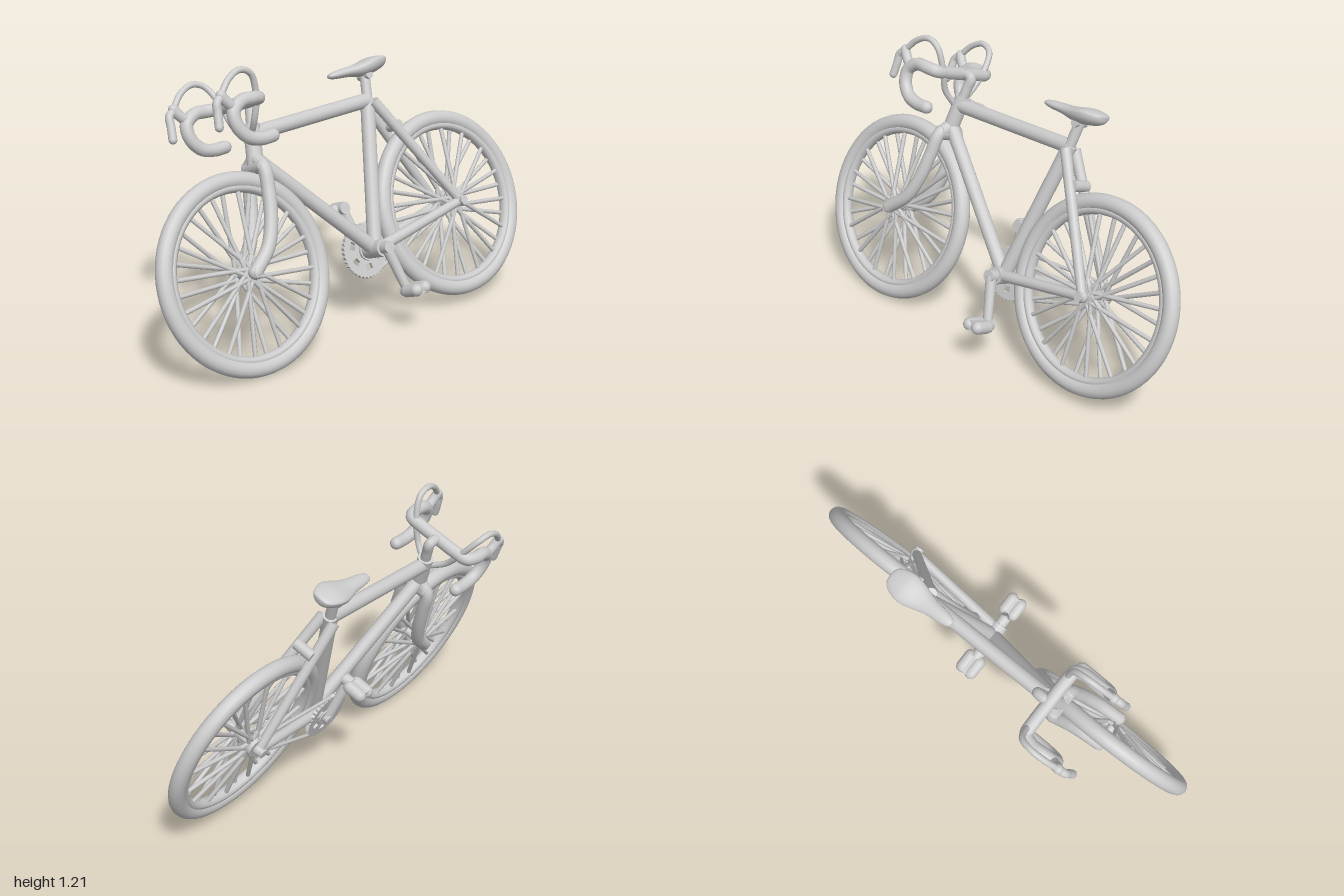
import * as THREE from 'three';

const mat = new THREE.MeshStandardMaterial({ color: 0xcccccc });
const V = (x, y, z) => new THREE.Vector3(x, y, z);

function add(parent, geo, name, pos) {
  const m = new THREE.Mesh(geo, mat);
  m.name = name;
  if (pos) m.position.copy(pos);
  parent.add(m);
  return m;
}

// Straight capped rod between two points
function rod(parent, a, b, r1, name, r2 = r1, sides = 14) {
  const d = b.clone().sub(a);
  const m = add(parent, new THREE.CylinderGeometry(r2, r1, d.length(), sides), name, a.clone().lerp(b, 0.5));
  m.quaternion.setFromUnitVectors(V(0, 1, 0), d.normalize());
  return m;
}

// Curved tube with rounded ends
function bent(parent, pts, r, name, segs = 36) {
  const g = new THREE.Group();
  g.name = name;
  add(g, new THREE.TubeGeometry(new THREE.CatmullRomCurve3(pts), segs, r, 12), name + 'Tube');
  for (const p of [pts[0], pts[pts.length - 1]]) add(g, new THREE.SphereGeometry(r, 12, 8), name + 'End', p);
  parent.add(g);
}

// Wheel in the local yz plane, axle along x
function wheel(name, z, axle) {
  const g = new THREE.Group();
  g.name = name;
  g.position.z = z;
  add(g, new THREE.TorusGeometry(0.382, 0.036, 14, 72), 'tyre').rotation.y = Math.PI / 2;
  add(g, new THREE.TorusGeometry(0.35, 0.02, 10, 72).scale(1, 1, 1.3), 'rim').rotation.y = Math.PI / 2;
  rod(g, V(-axle, 0, 0), V(axle, 0, 0), 0.014, 'axle');
  rod(g, V(-0.05, 0, 0), V(0.05, 0, 0), 0.02, 'hub');
  for (const s of [-1, 1]) {
    rod(g, V(s * 0.036, 0, 0), V(s * 0.046, 0, 0), 0.032, 'hubFlange');
    rod(g, V(s * (axle - 0.012), 0, 0), V(s * (axle + 0.008), 0, 0), 0.022, 'axleNut', 0.022, 6);
  }
  // Spokes alternate between flanges and lean forwards or backwards
  const n = 32;
  for (let i = 0; i < n; i++) {
    const a = i / n * Math.PI * 2, s = i % 2 ? 1 : -1;
    const b = a + (i % 4 < 2 ? 0.8 : -0.8);
    rod(g, V(s * 0.04, Math.cos(b) * 0.024, Math.sin(b) * 0.024),
      V(s * 0.006, Math.cos(a) * 0.345, Math.sin(a) * 0.345), 0.0095, 'spoke', 0.0095, 8);
  }
  return g;
}

// Saddle: a blunt-ended sphere with narrow nose, wide tail and deep rear skirt
function saddleGeometry() {
  const geo = new THREE.SphereGeometry(1, 36, 28);
  geo.rotateX(Math.PI / 2);
  const p = geo.attributes.position;
  for (let i = 0; i < p.count; i++) {
    const x = p.getX(i), y = p.getY(i), z = p.getZ(i);
    const t = THREE.MathUtils.smoothstep(-z, -0.45, 0.6); // 0 nose, 1 tail
    const blunt = Math.pow(Math.max(1 - z * z, 1e-6), -0.2);
    const up = y > 0 ? 0.022 : 0.022 + 0.034 * t;
    p.setXYZ(i, x * blunt * (0.036 + 0.037 * t), y * blunt * up + 0.02 * t * t, z * 0.16);
  }
  geo.computeVertexNormals();
  return geo;
}

function chainringGeometry() {
  const s = new THREE.Shape(), teeth = 36;
  for (let i = 0; i < teeth * 2; i++) {
    const a = i / teeth * Math.PI, r = i % 2 ? 0.113 : 0.12;
    s[i ? 'lineTo' : 'moveTo'](Math.cos(a) * r, Math.sin(a) * r);
  }
  for (let i = 0; i < 6; i++) {
    const a = i / 6 * Math.PI * 2, h = new THREE.Path();
    h.absarc(0, 0, 0.084, a + 0.3, a + 0.75, false);
    h.absarc(0, 0, 0.058, a + 0.75, a + 0.3, true);
    s.holes.push(h);
  }
  return new THREE.ExtrudeGeometry(s, { depth: 0.016, bevelEnabled: false, curveSegments: 8 }).rotateY(Math.PI / 2);
}

export function createModel() {
  const root = new THREE.Group();
  root.name = 'bicycle';
  const bike = new THREE.Group();
  bike.name = 'leaningBicycle';
  root.add(bike);

  const bb = V(0, -0.085, -0.1), seatTop = V(0, 0.545, -0.28);

  bike.add(wheel('frontWheel', 0.583, 0.085), wheel('rearWheel', -0.583, 0.1));

  // Main frame
  rod(bike, V(0, 0.535, 0.365), V(0, 0.54, -0.275), 0.032, 'topTube');
  rod(bike, V(0, 0.435, 0.385), bb, 0.031, 'downTube');
  rod(bike, bb, seatTop, 0.032, 'seatTube');
  rod(bike, V(0, 0.41, 0.392), V(0, 0.575, 0.358), 0.035, 'headTube');
  rod(bike, V(-0.06, bb.y, bb.z), V(0.06, bb.y, bb.z), 0.038, 'bottomBracket');
  rod(bike, seatTop, V(0, 0.665, -0.305), 0.023, 'seatPost');
  rod(bike, V(-0.035, 0.645, -0.3), V(0.035, 0.645, -0.3), 0.018, 'seatClamp');
  add(bike, saddleGeometry(), 'saddle', V(0, 0.68, -0.262));

  for (const s of [-1, 1]) {
    // Stays and fork legs
    rod(bike, V(s * 0.03, 0.53, -0.285), V(s * 0.078, 0, -0.583), 0.024, 'seatStay', 0.02);
    rod(bike, V(s * 0.035, -0.08, -0.11), V(s * 0.078, 0, -0.583), 0.025, 'chainStay', 0.02);
    add(bike, new THREE.SphereGeometry(0.026, 12, 10), 'rearDropout', V(s * 0.078, 0, -0.583));
    bent(bike, [V(s * 0.02, 0.425, 0.39), V(s * 0.058, 0.39, 0.396), V(s * 0.066, 0.3, 0.41), V(s * 0.069, 0.18, 0.44),
      V(s * 0.07, 0.08, 0.49), V(s * 0.07, 0, 0.583)], 0.029, 'forkLeg');

    // Drop handlebar half
    bent(bike, [V(0, 0.668, 0.395), V(s * 0.1, 0.668, 0.395), V(s * 0.155, 0.67, 0.402), V(s * 0.172, 0.674, 0.44),
      V(s * 0.172, 0.674, 0.5), V(s * 0.172, 0.64, 0.55), V(s * 0.172, 0.58, 0.55), V(s * 0.172, 0.528, 0.51),
      V(s * 0.172, 0.51, 0.45), V(s * 0.172, 0.51, 0.395)], 0.028, 'handlebar', 60);

    // Brake lever: hood, blade and looping cable
    bent(bike, [V(s * 0.172, 0.65, 0.54), V(s * 0.174, 0.69, 0.575), V(s * 0.175, 0.715, 0.59)], 0.022, 'leverHood', 10);
    bent(bike, [V(s * 0.175, 0.71, 0.59), V(s * 0.175, 0.69, 0.618), V(s * 0.172, 0.65, 0.625),
      V(s * 0.17, 0.595, 0.635)], 0.018, 'leverBlade', 16);
    bent(bike, [V(s * 0.175, 0.72, 0.585), V(s * 0.176, 0.77, 0.535), V(s * 0.174, 0.795, 0.47), V(s * 0.165, 0.77, 0.415),
      V(s * 0.125, 0.675, 0.39), V(s * 0.08, 0.59, 0.395), V(s * 0.025, 0.54, 0.385)], 0.0135, 'brakeCable');

    // Crank arm and pedal: left down, right up
    const boss = V(s * 0.08, bb.y, bb.z), tip = V(s * 0.085, bb.y - s * 0.202, bb.z - s * 0.045);
    const pedal = tip.clone().add(V(s * 0.056, 0, 0));
    rod(bike, boss, tip, 0.024, 'crankArm', 0.02);
    for (const p of [boss, tip]) {
      rod(bike, p.clone().add(V(-0.02, 0, 0)), p.clone().add(V(0.02, 0, 0)), 0.027, 'crankBoss');
    }
    rod(bike, tip, pedal, 0.014, 'pedalAxle');
    for (const k of [-1, 1]) {
      add(bike, new THREE.CapsuleGeometry(0.028, 0.058, 4, 12).rotateZ(Math.PI / 2), 'pedalBar',
        pedal.clone().add(V(0, 0, k * 0.024)));
    }
    add(bike, new THREE.BoxGeometry(0.09, 0.045, 0.05), 'pedalBody', pedal);
  }
  rod(bike, V(-0.046, 0.4, -0.378), V(0.046, 0.4, -0.378), 0.024, 'brakeBridge');
  rod(bike, V(-0.06, 0.4, 0.395), V(0.06, 0.4, 0.395), 0.032, 'forkCrown');

  // Quill stem
  bent(bike, [V(0, 0.56, 0.36), V(0, 0.62, 0.345), V(0, 0.662, 0.335), V(0, 0.672, 0.36), V(0, 0.668, 0.395)], 0.023, 'stem', 20);

  // Drivetrain on the right side
  add(bike, chainringGeometry(), 'chainring', V(-0.07, bb.y, -0.09));
  rod(bike, V(-0.075, bb.y, bb.z), V(-0.045, bb.y, bb.z), 0.045, 'chainringHub');
  rod(bike, V(-0.066, 0, -0.583), V(-0.05, 0, -0.583), 0.045, 'rearSprocket', 0.045, 20);
  for (const s of [-1, 1]) {
    rod(bike, V(-0.062, bb.y + s * 0.111, -0.105), V(-0.06, s * 0.045, -0.583), 0.008, 'chainRun', 0.008, 8);
  }

  // Lean the whole bicycle over to its right, with a slight turn and nose-down pitch
  const f = V(-0.026, -0.034, 0.999).normalize();
  const x = V(0.934, 0.358, 0).addScaledVector(f, 0.0366).normalize();
  const y = f.clone().cross(x).normalize();
  bike.quaternion.setFromRotationMatrix(new THREE.Matrix4().makeBasis(x, y, f));
  bike.position.set(0.094, 0.416, 0);
  return root;
}
